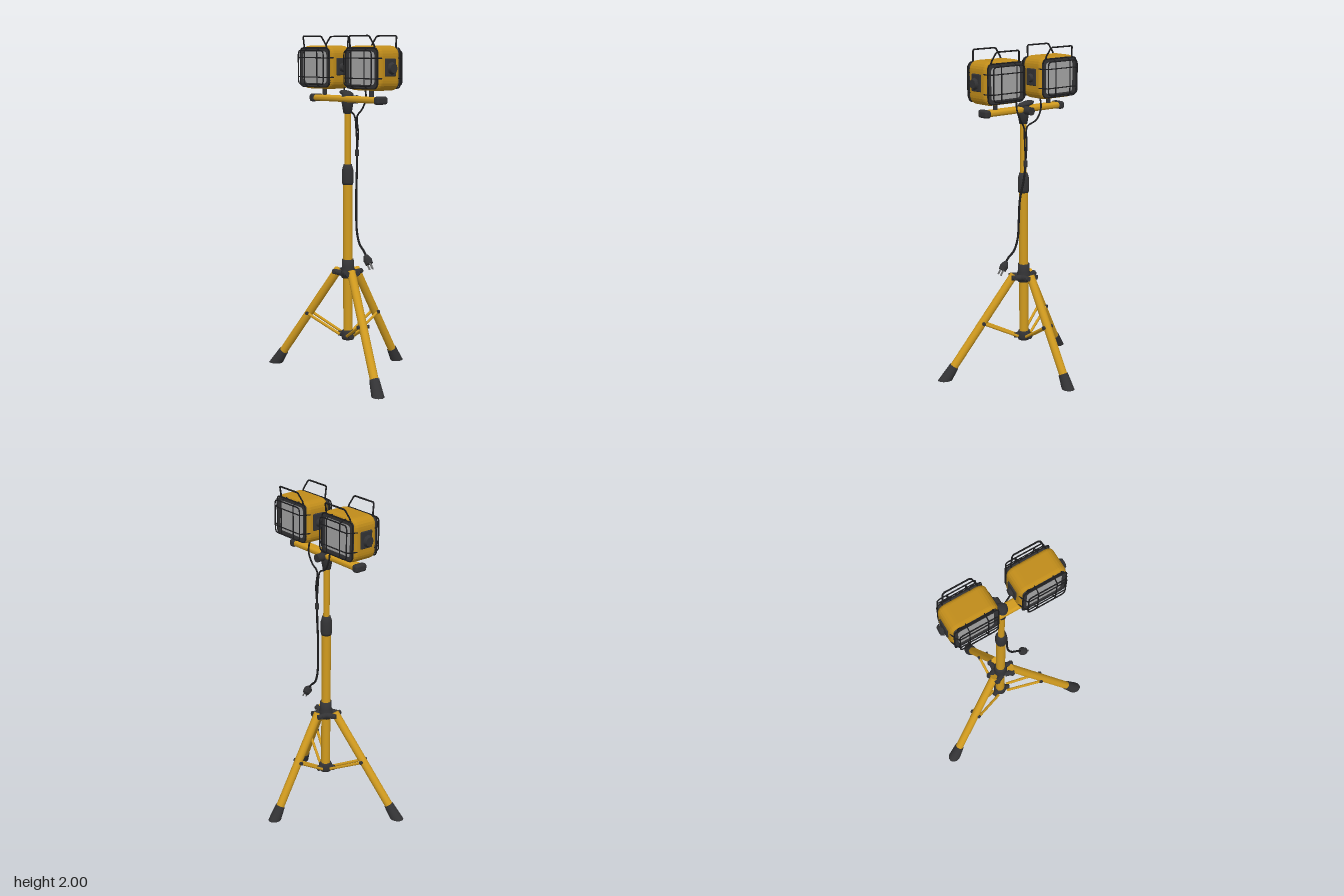
import * as THREE from 'three';
import { mergeGeometries } from 'three/addons/utils/BufferGeometryUtils.js';
import { RoundedBoxGeometry } from 'three/addons/geometries/RoundedBoxGeometry.js';

const paint = (name, color) => {
  const m = new THREE.MeshStandardMaterial({ color });
  m.name = name;
  return m;
};
const V = (x, y, z) => new THREE.Vector3(x, y, z);
const AXIS_Z = 0.107; // depth of the mast

// Tapered rod between two points
function rod(a, b, r0, r1 = r0, sides = 16) {
  const d = b.clone().sub(a);
  const g = new THREE.CylinderGeometry(r1, r0, d.length(), sides);
  g.applyQuaternion(new THREE.Quaternion().setFromUnitVectors(V(0, 1, 0), d.normalize()));
  const c = a.clone().add(b).multiplyScalar(0.5);
  return g.translate(c.x, c.y, c.z);
}

// Bent wire made of straight runs
function wire(points, r, closed = false) {
  const runs = [];
  for (let i = 0; i < points.length - (closed ? 0 : 1); i++) {
    const a = points[i], b = points[(i + 1) % points.length];
    if (a.distanceTo(b) > 1e-4) runs.push(rod(a, b, r, r, 6));
  }
  return mergeGeometries(runs);
}

function roundRect(w, h, r, Type = THREE.Shape) {
  const s = new Type(), x = w / 2, y = h / 2;
  s.moveTo(-x + r, -y).lineTo(x - r, -y).quadraticCurveTo(x, -y, x, -y + r);
  s.lineTo(x, y - r).quadraticCurveTo(x, y, x - r, y);
  s.lineTo(-x + r, y).quadraticCurveTo(-x, y, -x, y - r);
  s.lineTo(-x, -y + r).quadraticCurveTo(-x, -y, -x + r, -y);
  return s;
}

export function createModel() {
  const yellow = paint('yellow paint', 0xd19b1f);
  const shell = paint('lamp housing yellow', 0xc08c1a);
  const rubber = paint('dark plastic', 0x333335);
  const black = paint('black wire', 0x1d1d1f);
  const glass = paint('lamp glass', 0xa6a6a6);
  const steel = paint('prong steel', 0x6a6a6a);

  const root = new THREE.Group();
  root.name = 'workLightStand';
  const add = (name, geo, mat, parent = root) => {
    const m = new THREE.Mesh(geo, mat);
    m.name = name;
    parent.add(m);
    return m;
  };
  const lathe = (name, pts, mat) => add(name,
    new THREE.LatheGeometry(pts.map(p => new THREE.Vector2(...p)), 20).translate(-0.004, 0, AXIS_Z), mat);

  // Telescopic mast and its collars
  add('lowerMast', rod(V(-0.004, 0.21, AXIS_Z), V(-0.004, 1.16, AXIS_Z), 0.028, 0.028, 20), yellow);
  add('upperMast', rod(V(-0.004, 1.15, AXIS_Z), V(-0.004, 1.6, AXIS_Z), 0.019, 0.019, 20), yellow);
  lathe('mastCollar', [[0, 1.135], [0.031, 1.135], [0.034, 1.15], [0.034, 1.22], [0.024, 1.255], [0, 1.255]], rubber);
  lathe('legHub', [[0, 0.58], [0.038, 0.58], [0.042, 0.6], [0.042, 0.63], [0.036, 0.645], [0.035, 0.69], [0, 0.69]], rubber);
  lathe('braceHub', [[0, 0.205], [0.034, 0.205], [0.04, 0.22], [0.04, 0.25], [0.032, 0.262], [0, 0.262]], rubber);
  lathe('headSocket', [[0, 1.55], [0.024, 1.55], [0.034, 1.61], [0.036, 1.65], [0.024, 1.672], [0, 1.675]], rubber);

  // Tripod legs with feet, hinges and paired braces
  for (const [name, fx, fz] of [['leftLeg', 0.465, 0.297], ['rightLeg', -0.465, 0.297], ['backLeg', -0.004, -0.297]]) {
    const leg = new THREE.Group();
    leg.name = name;
    root.add(leg);
    const base = V(-0.004, 0, AXIS_Z);
    const out = V(fx, 0, fz).sub(base);
    const reach = out.length();
    out.normalize();
    const side = V(-out.z, 0, out.x);
    const at = (r, y, s = 0) => base.clone().addScaledVector(out, r).addScaledVector(side, s).setY(y);
    const top = at(0.062, 0.625), end = at(reach, 0);
    const on = t => top.clone().lerp(end, t);
    add('legTube', rod(top, on(0.92), 0.025), yellow, leg);
    const foot = rod(on(1.06), on(0.87), 0.036, 0.029);
    const p = foot.attributes.position;
    for (let i = 0; i < p.count; i++) if (p.getY(i) < 0) {
      // flatten the sole by sliding back along the leg
      const v = V(p.getX(i), p.getY(i), p.getZ(i));
      const dir = top.clone().sub(end);
      v.addScaledVector(dir, -v.y / dir.y);
      p.setXYZ(i, v.x, 0, v.z);
    }
    foot.computeVertexNormals();
    add('foot', foot, rubber, leg);
    for (const s of [-1, 1]) {
      add('hingeCheek', rod(at(0.025, 0.61, s * 0.028), at(0.085, 0.615, s * 0.028), 0.019, 0.015, 10), rubber, leg);
      const pin = on(0.455);
      pin.addScaledVector(side, s * 0.027);
      add('brace', rod(at(0.045, 0.235, s * 0.022), pin, 0.0085, 0.0085, 8), yellow, leg);
    }
    add('hingePin', rod(at(0.07, 0.615, -0.048), at(0.07, 0.615, 0.048), 0.01, 0.01, 10), rubber, leg);
    const pin = on(0.455);
    add('bracePin', rod(pin.clone().addScaledVector(side, -0.036), pin.clone().addScaledVector(side, 0.036), 0.011, 0.011, 10), rubber, leg);
    add('braceLug', rod(at(0.02, 0.235), at(0.062, 0.235), 0.02, 0.016, 10), rubber, leg);
  }

  // Crossbar with end caps and locking knob
  add('crossbar', new RoundedBoxGeometry(0.56, 0.036, 0.07, 3, 0.016).translate(0, 1.635, 0.112), yellow);
  for (const s of [-1, 1])
    add('crossbarCap', new RoundedBoxGeometry(0.042, 0.046, 0.08, 3, 0.014).translate(s * 0.283, 1.635, 0.112), rubber);
  const knob = add('lockingKnob', new THREE.SphereGeometry(1, 16, 10), rubber);
  knob.scale.set(0.055, 0.017, 0.03);
  knob.position.set(-0.022, 1.667, 0.1);
  knob.rotation.z = -0.15;
  add('socketBolt', rod(V(-0.004, 1.63, 0.03), V(-0.004, 1.63, 0.1), 0.024, 0.024, 12), rubber);

  // Twin lamp heads, each lit on both faces
  for (const s of [-1, 1]) {
    const lamp = new THREE.Group();
    lamp.name = s > 0 ? 'leftLamp' : 'rightLamp';
    lamp.position.set(s * 0.205, 1.815, 0.1);
    root.add(lamp);
    const body = new THREE.ExtrudeGeometry(roundRect(0.24, 0.206, 0.035), {
      depth: 0.11, bevelThickness: 0.022, bevelSize: 0.022, bevelSegments: 4, curveSegments: 6,
    });
    add('housing', body.translate(0, 0, -0.055), shell, lamp);
    add('bracketPost', rod(V(0, -0.165, 0.01), V(0, -0.12, 0.01), 0.014, 0.014, 12), rubber, lamp);

    for (const f of [-1, 1]) {
      // Bezel and glass
      const ring = roundRect(0.255, 0.222, 0.035);
      ring.holes.push(roundRect(0.216, 0.184, 0.022, THREE.Path));
      add('bezel', new THREE.ExtrudeGeometry(ring, { depth: 0.018, bevelEnabled: false, curveSegments: 6 })
        .translate(0, 0, f > 0 ? 0.07 : -0.088), rubber, lamp);
      add('glass', new THREE.BoxGeometry(0.222, 0.19, 0.006).translate(0, 0, f * 0.079), glass, lamp);

      // Wire guard
      const loop = (w, h, r, z) => wire(roundRect(w, h, r).getPoints(4).slice(0, -1).map(q => V(q.x, q.y, f * z)), 0.004, true);
      const guard = [loop(0.262, 0.226, 0.03, 0.088), loop(0.228, 0.196, 0.025, 0.117)];
      for (const k of [-0.056, 0.056]) {
        guard.push(wire([V(k, -0.113, f * 0.06), V(k, -0.113, f * 0.092), V(k, -0.098, f * 0.117),
          V(k, 0.098, f * 0.117), V(k, 0.113, f * 0.092), V(k, 0.113, f * 0.06)], 0.0035));
        guard.push(wire([V(-0.14, k, f * 0.06), V(-0.131, k, f * 0.092), V(-0.114, k, f * 0.117),
          V(0.114, k, f * 0.117), V(0.131, k, f * 0.092), V(0.14, k, f * 0.06)], 0.0035));
      }
      add('wireGuard', mergeGeometries(guard), black, lamp);

      // Carrying handle leaning outwards
      add('handle', wire([V(-0.106, 0.1, f * 0.078), V(-0.1, 0.13, f * 0.084), V(-0.084, 0.175, f * 0.103),
        V(-0.074, 0.18, f * 0.106), V(0.074, 0.18, f * 0.106), V(0.084, 0.175, f * 0.103),
        V(0.1, 0.13, f * 0.084), V(0.106, 0.1, f * 0.078)], 0.005), black, lamp);
    }

    // Side plates and tilt knobs
    for (const k of [-1, 1]) {
      const outer = k === s;
      add('sidePlate', new RoundedBoxGeometry(0.014, 0.1, 0.08, 2, 0.006).translate(k * 0.143, 0.005, 0), rubber, lamp);
      add('knobStem', rod(V(k * 0.14, 0, 0), V(k * 0.165, 0, 0), 0.014, 0.014, 10), rubber, lamp);
      const x = outer ? 0.158 : 0.15, r = outer ? 0.036 : 0.027;
      add('tiltKnob', rod(V(k * x, 0, 0), V(k * (x + 0.016), 0, 0), r, r * 0.75, 8), rubber, lamp);
    }
  }

  // Power cords
  const cord = (name, pts, r) => add(name,
    new THREE.TubeGeometry(new THREE.CatmullRomCurve3(pts.map(q => V(...q))), 64, r, 8), black);
  for (const s of [-1, 1])
    cord('lampCord', [[s * 0.09, 1.72, 0.06], [s * 0.092, 1.64, 0.05], [s * 0.06, 1.575, 0.052],
      [0.018 + s * 0.012, 1.535, 0.062], [0.022 + s * 0.008, 1.44, 0.055], [0.022, 1.33, 0.056]], 0.005);
  add('cordJoint', new RoundedBoxGeometry(0.02, 0.04, 0.02, 2, 0.005).translate(0.022, 1.32, 0.056), rubber);
  cord('mainCord', [[0.022, 1.32, 0.056], [0.03, 1.22, 0.065], [0.045, 1.1, 0.083], [0.05, 0.97, 0.088],
    [0.058, 0.86, 0.09], [0.085, 0.79, 0.093], [0.125, 0.755, 0.096], [0.147, 0.727, 0.097]], 0.0065);

  // Plug
  const plug = new THREE.Group();
  plug.name = 'plug';
  plug.position.set(0.157, 0.71, 0.097);
  plug.rotation.z = 0.6;
  root.add(plug);
  add('plugGrip', new THREE.CylinderGeometry(0.012, 0.026, 0.03, 12).translate(0, 0.012, 0), rubber, plug);
  add('plugBody', new THREE.CylinderGeometry(0.026, 0.023, 0.028, 12).translate(0, -0.016, 0), rubber, plug);
  for (const k of [-1, 1])
    add('prong', new THREE.BoxGeometry(0.004, 0.034, 0.011).translate(k * 0.012, -0.045, 0.004), steel, plug);
  add('groundPin', rod(V(0, -0.065, -0.012), V(0, -0.028, -0.012), 0.004, 0.004, 8), steel, plug);

  return root;
}
